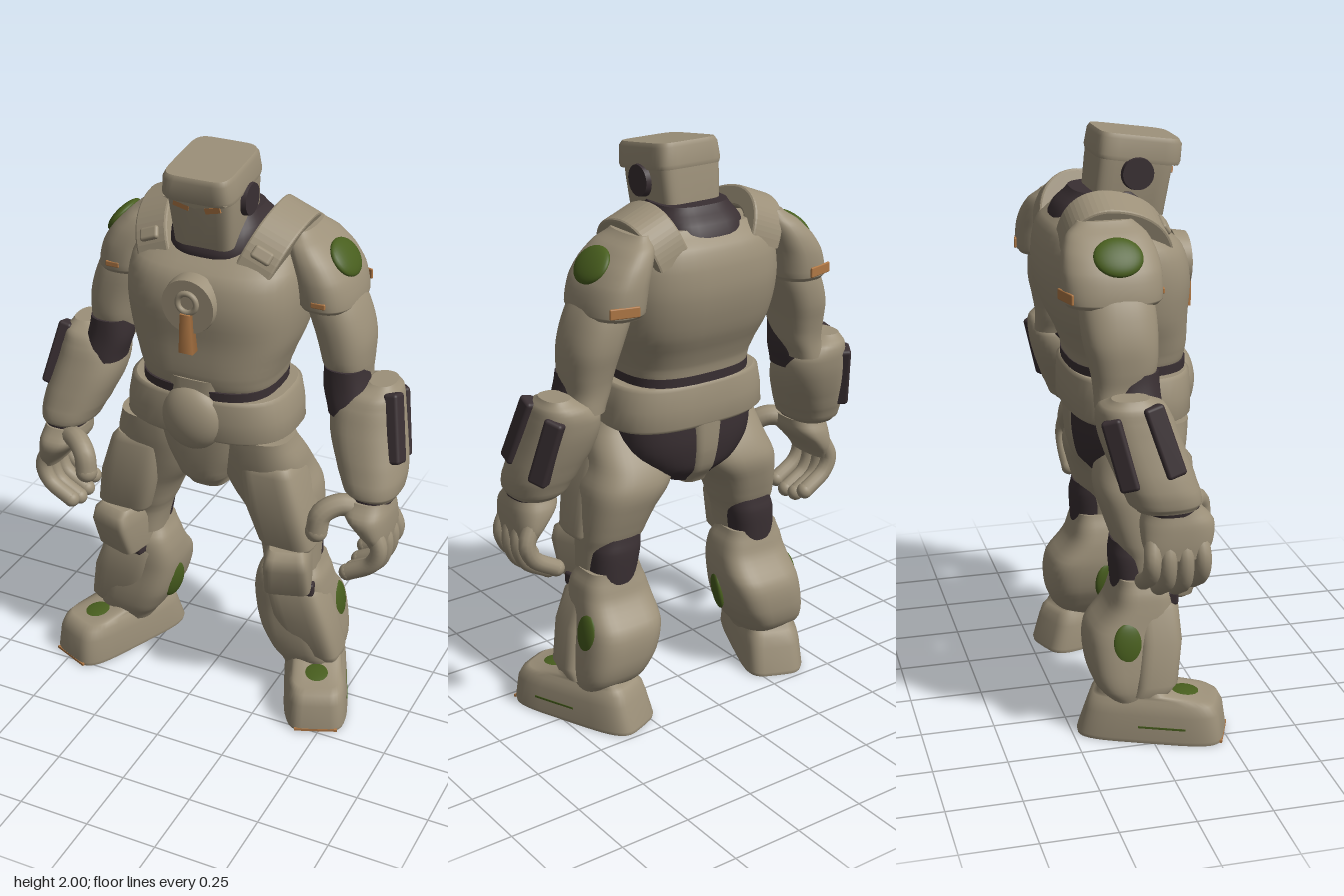
import * as THREE from 'three';
import { RoundedBoxGeometry } from 'three/addons/geometries/RoundedBoxGeometry.js';

const mat = (name, color) => {
  const m = new THREE.MeshStandardMaterial({ color });
  m.name = name;
  return m;
};

// Closed body through level rings [y, x, z, halfWidth, halfDepth], listed from bottom to top.
// p sets how square the rings are; steps > 1 smooths between rings.
function loft(rings, p = 2.4, steps = 4, seg = 40) {
  const rows = [], n = rings.length;
  const at = i => rings[Math.max(0, Math.min(n - 1, i))];
  for (let i = 0; i < n - 1; i++)
    for (let s = 0; s < steps; s++) {
      const t = s / steps;
      rows.push(rings[i].map((_, k) => {
        const [a, b, c, d] = [at(i - 1)[k], at(i)[k], at(i + 1)[k], at(i + 2)[k]];
        if (steps === 1 || k === 0) return b + (c - b) * t;
        return b + 0.5 * t * (c - a + t * (2 * a - 5 * b + 4 * c - d + t * (3 * (b - c) + d - a)));
      }));
    }
  rows.push(rings[n - 1]);
  const pos = [], idx = [];
  const pow = v => Math.sign(v) * Math.abs(v) ** (2 / p);
  const addRing = ([y, x, z, rx, rz]) => {
    for (let j = 0; j < seg; j++) {
      const a = (j / seg) * Math.PI * 2;
      pos.push(x + rx * pow(Math.cos(a)), y, z + rz * pow(Math.sin(a)));
    }
  };
  rows.forEach(addRing);
  for (let i = 0; i < rows.length - 1; i++)
    for (let j = 0; j < seg; j++) {
      const k = (j + 1) % seg, a = i * seg + j, b = i * seg + k;
      idx.push(a, a + seg, b, b, a + seg, b + seg);
    }
  for (const top of [false, true]) {
    const r = top ? rows[rows.length - 1] : rows[0], base = pos.length / 3;
    addRing(r);
    pos.push(r[1], r[0], r[2]);
    for (let j = 0; j < seg; j++) {
      const a = base + j, b = base + (j + 1) % seg;
      idx.push(base + seg, top ? b : a, top ? a : b);
    }
  }
  const g = new THREE.BufferGeometry();
  g.setAttribute('position', new THREE.Float32BufferAttribute(pos, 3));
  g.setIndex(idx);
  g.computeVertexNormals();
  return g;
}

export function createModel() {
  const armour = mat('khaki armour', 0x9c9079), dark = mat('dark under suit', 0x3a3033);
  const green = mat('green patch', 0x485e1e), orange = mat('worn orange', 0xb07845);
  const model = new THREE.Group();
  const add = (parent, name, geo, m, pos = [0, 0, 0], rot = [0, 0, 0], scale = [1, 1, 1]) => {
    const mesh = new THREE.Mesh(geo, m);
    mesh.name = name;
    mesh.position.set(...pos);
    mesh.rotation.set(...rot);
    mesh.scale.set(...scale);
    parent.add(mesh);
  };
  const ball = new THREE.SphereGeometry(1, 28, 18);
  const box = (w, h, d, r = 0.01) => new RoundedBoxGeometry(w, h, d, 3, r);
  const group = (name, parent, pos = [0, 0, 0], rot = [0, 0, 0]) => {
    const g = new THREE.Group();
    g.name = name;
    g.position.set(...pos);
    g.rotation.set(...rot);
    parent.add(g);
    return g;
  };

  // Torso, neck and waist
  add(model, 'torso', loft([
    [1.2, 0, 0, 0.222, 0.18], [1.235, 0, 0.012, 0.235, 0.193], [1.29, 0, 0.01, 0.25, 0.205],
    [1.4, 0, -0.015, 0.288, 0.23], [1.52, 0, -0.027, 0.303, 0.248], [1.62, 0, -0.04, 0.295, 0.234],
    [1.69, 0, -0.07, 0.262, 0.182], [1.74, 0, -0.09, 0.2, 0.112]], 2.8), armour);
  add(model, 'bellyPlate', loft([[1.12, 0, 0.1, 0.095, 0.12], [1.27, 0, 0.1, 0.11, 0.118]], 3.5, 1), armour);
  add(model, 'neck', loft([
    [1.64, 0, -0.05, 0.165, 0.178], [1.69, 0, -0.05, 0.165, 0.185], [1.75, 0, -0.052, 0.155, 0.158],
    [1.8, 0, -0.05, 0.125, 0.11]], 2.8), dark);
  add(model, 'waist', loft([[1.14, 0, 0.015, 0.235, 0.195], [1.236, 0, 0.015, 0.236, 0.199]], 2.8, 1), dark);
  add(model, 'belt', loft([
    [1.05, 0, 0.015, 0.285, 0.195], [1.065, 0, 0.015, 0.3, 0.21], [1.13, 0, 0.015, 0.296, 0.21],
    [1.195, 0, 0.015, 0.283, 0.207], [1.205, 0, 0.015, 0.268, 0.197]], 2.8, 1), armour);
  add(model, 'buckle', ball, armour, [0, 1.125, 0.2], [0, 0, 0], [0.11, 0.118, 0.065]);

  // Pelvis
  add(model, 'pelvis', loft([
    [0.83, 0, -0.02, 0.09, 0.09], [0.88, 0, -0.015, 0.18, 0.135], [0.94, 0, -0.01, 0.235, 0.157],
    [1.0, 0, -0.005, 0.255, 0.17], [1.08, 0, 0, 0.26, 0.175]], 2.5), dark);
  add(model, 'groinPlate', loft([
    [0.82, 0, 0.04, 0.07, 0.09], [0.87, 0, 0.06, 0.09, 0.115], [0.97, 0, 0.07, 0.138, 0.125],
    [1.08, 0, 0.08, 0.165, 0.125]], 3), armour);
  add(model, 'backStrip', loft([
    [0.82, 0, -0.03, 0.05, 0.085], [0.88, 0, -0.06, 0.056, 0.1], [0.96, 0, -0.075, 0.06, 0.108],
    [1.08, 0, -0.08, 0.07, 0.11]], 3.5), armour);

  // Chest badge
  const face = [Math.PI / 2, 0, 0];
  add(model, 'chestDisc', new THREE.CylinderGeometry(0.092, 0.1, 0.05, 40), armour, [0, 1.54, 0.21], face);
  add(model, 'chestRing', new THREE.TorusGeometry(0.033, 0.01, 10, 28), armour, [0, 1.555, 0.238]);
  add(model, 'chestTab', new THREE.CylinderGeometry(0.026, 0.036, 0.14, 4, 1, false, Math.PI / 4), orange,
    [0, 1.45, 0.236], [0.06, 0, 0], [1, 1, 0.7]);

  // Head
  const head = group('head', model, [0, 1.85, 0.03], [0.14, 0, 0]);
  add(head, 'faceMask', loft([
    [-0.14, 0, 0, 0.095, 0.112], [-0.125, 0, 0, 0.108, 0.125], [0.02, 0, 0, 0.118, 0.13],
    [0.06, 0, 0, 0.118, 0.13]], 6, 1), armour);
  add(head, 'helmet', loft([
    [0.045, 0, 0.01, 0.123, 0.14], [0.06, 0, 0.01, 0.126, 0.145], [0.115, 0, 0.01, 0.12, 0.143],
    [0.13, 0, 0.008, 0.112, 0.134]], 6, 1), armour);
  const brim = new THREE.Shape([[-0.112, 0.052], [0, 0.026], [0.112, 0.052]].map(q => new THREE.Vector2(...q)));
  add(head, 'brow', new THREE.ExtrudeGeometry(brim, { depth: 0.034, bevelEnabled: false }), armour, [0, 0, 0.112]);
  for (const s of [1, -1]) {
    add(head, 'eye', new THREE.BoxGeometry(0.055, 0.02, 0.008), orange, [s * 0.055, 0.021, 0.129], [0, 0, s * 0.25]);
    add(head, 'earDisc', new THREE.CylinderGeometry(0.052, 0.057, 0.03, 28), dark, [s * 0.12, 0.01, 0.005],
      [0, 0, -s * Math.PI / 2]);
  }

  // One arm and one leg, built on +x and then mirrored
  const side = group('leftSide', model);

  // Shoulder strap
  const strap = new THREE.Shape();
  strap.moveTo(0.165, -0.09);
  strap.bezierCurveTo(0.13, 0.03, 0.02, 0.06, -0.05, 0.065);
  strap.bezierCurveTo(-0.14, 0.065, -0.18, 0.0, -0.185, -0.08);
  strap.lineTo(-0.145, -0.08);
  strap.bezierCurveTo(-0.13, 0.0, -0.1, 0.015, -0.05, 0.01);
  strap.bezierCurveTo(0.02, 0.0, 0.07, -0.03, 0.1, -0.1);
  const strapBox = group('shoulderStrap', side, [0.212, 1.735, -0.045], [0, 0, -0.38]);
  add(strapBox, 'strap', new THREE.ExtrudeGeometry(strap, {
    depth: 0.108, bevelSize: 0.008, bevelThickness: 0.008, bevelSegments: 2, curveSegments: 14 }), armour,
    [0.052, 0, 0], [0, -Math.PI / 2, 0]);
  add(strapBox, 'strapClip', box(0.07, 0.03, 0.045), armour, [0, -0.035, 0.145], [0.9, 0, 0]);

  // Arm
  const arm = group('arm', side);
  add(arm, 'shoulderPad', loft([
    [1.505, 0.365, -0.11, 0.092, 0.148], [1.52, 0.365, -0.11, 0.1, 0.16], [1.6, 0.35, -0.11, 0.096, 0.162],
    [1.66, 0.322, -0.11, 0.085, 0.152], [1.71, 0.29, -0.11, 0.065, 0.13], [1.75, 0.265, -0.11, 0.035, 0.09]], 2.5), armour);
  add(arm, 'shoulderPatch', ball, green, [0.404, 1.658, -0.1], [0, 0, 0.68], [0.024, 0.068, 0.08]);
  add(arm, 'padMarkFront', box(0.05, 0.02, 0.009, 0.004), orange, [0.372, 1.54, 0.049]);
  add(arm, 'padMarkBack', box(0.1, 0.035, 0.009, 0.004), orange, [0.392, 1.54, -0.266], [0, -0.25, 0]);
  add(arm, 'upperArm', loft([
    [1.19, 0.455, -0.11, 0.062, 0.08], [1.25, 0.438, -0.1, 0.07, 0.09], [1.31, 0.432, -0.092, 0.08, 0.107],
    [1.4, 0.418, -0.098, 0.092, 0.12], [1.5, 0.385, -0.1, 0.095, 0.12], [1.6, 0.35, -0.1, 0.08, 0.1]]), armour);
  add(arm, 'elbow', loft([
    [1.14, 0.47, -0.05, 0.08, 0.085], [1.22, 0.446, -0.058, 0.078, 0.082], [1.3, 0.436, -0.06, 0.07, 0.08]]), dark);
  add(arm, 'forearm', loft([
    [0.89, 0.585, 0.01, 0.078, 0.1], [0.91, 0.578, 0.005, 0.096, 0.118], [0.97, 0.563, -0.015, 0.113, 0.125],
    [1.08, 0.528, -0.052, 0.124, 0.128], [1.17, 0.515, -0.078, 0.117, 0.122], [1.22, 0.53, -0.09, 0.09, 0.105],
    [1.25, 0.555, -0.1, 0.045, 0.06]]), armour);
  add(arm, 'forearmBarFront', box(0.05, 0.235, 0.066, 0.012), dark, [0.632, 1.125, -0.012], [-0.28, -0.1, 0.2]);
  add(arm, 'forearmBarBack', box(0.05, 0.235, 0.066, 0.012), dark, [0.612, 1.085, -0.142], [-0.34, 0.5, 0.2]);

  // Hand
  add(arm, 'wrist', loft([[0.875, 0.582, 0.03, 0.07, 0.085], [0.91, 0.58, 0.02, 0.08, 0.095]], 2.4, 1), dark);
  add(arm, 'palm', loft([
    [0.73, 0.628, 0.035, 0.032, 0.095], [0.78, 0.612, 0.04, 0.05, 0.115], [0.84, 0.583, 0.045, 0.076, 0.118],
    [0.89, 0.575, 0.035, 0.074, 0.088]], 2.6), armour);
  const digit = (name, pts, r) => {
    const v = pts.map(q => new THREE.Vector3(...q));
    add(arm, name, new THREE.TubeGeometry(new THREE.CatmullRomCurve3(v), 16, r, 12), armour);
    add(arm, name + 'Tip', ball, armour, pts[pts.length - 1], [0, 0, 0], [r, r, r]);
  };
  [0.115, 0.058, 0.002, -0.05].forEach((z, i) => {
    const d = [0.02, 0, 0.005, 0.03][i];
    digit('finger', [[0.61, 0.81, z * 0.9 + 0.005], [0.644, 0.73, z], [0.622, 0.645 + d, z], [0.535, 0.588 + d, z]], 0.029);
  });
  digit('thumb', [[0.57, 0.85, 0.08], [0.5, 0.87, 0.12], [0.45, 0.84, 0.155], [0.438, 0.775, 0.165]], 0.038);

  // Thigh and knee
  const leg = group('leg', side);
  add(leg, 'thigh', loft([
    [0.54, 0.297, 0.028, 0.097, 0.085], [0.62, 0.29, 0.022, 0.104, 0.09], [0.67, 0.28, 0.016, 0.114, 0.108],
    [0.76, 0.258, 0.01, 0.13, 0.13], [0.84, 0.225, 0.008, 0.152, 0.145], [0.91, 0.2, 0.025, 0.15, 0.14],
    [0.98, 0.19, 0.055, 0.146, 0.122], [1.06, 0.185, 0.085, 0.125, 0.1]], 2.6), armour);
  add(leg, 'thighPlate', loft([
    [0.65, 0.312, 0.075, 0.088, 0.075], [0.67, 0.31, 0.075, 0.1, 0.09], [0.8, 0.278, 0.085, 0.11, 0.1],
    [0.94, 0.245, 0.085, 0.1, 0.095], [0.965, 0.24, 0.08, 0.085, 0.08]], 4, 1), armour);
  add(leg, 'kneeJoint', loft([
    [0.46, 0.3, -0.01, 0.088, 0.085], [0.54, 0.297, -0.015, 0.088, 0.086], [0.62, 0.288, -0.018, 0.092, 0.087],
    [0.67, 0.28, -0.012, 0.088, 0.085]]), dark);
  add(leg, 'kneePad', box(0.165, 0.05, 0.07), dark, [0.322, 0.48, 0.088], [0, 0.2, 0]);
  const knee = group('kneeGuard', leg, [0.32, 0.577, 0.12], [0.08, 0.28, 0]);
  add(knee, 'kneeBlock', loft([
    [-0.1, 0, -0.02, 0.07, 0.06], [-0.085, 0, -0.012, 0.08, 0.075], [0.03, 0, 0, 0.08, 0.09],
    [0.075, 0, -0.005, 0.072, 0.085], [0.09, 0, -0.015, 0.06, 0.065]], 6, 1), armour);

  // Shin
  add(leg, 'calfShell', loft([
    [0.12, 0.365, -0.02, 0.095, 0.095], [0.18, 0.348, -0.035, 0.12, 0.135], [0.26, 0.322, -0.042, 0.138, 0.15],
    [0.36, 0.302, -0.04, 0.141, 0.145], [0.44, 0.297, -0.008, 0.133, 0.115], [0.5, 0.298, 0, 0.12, 0.1],
    [0.55, 0.298, -0.01, 0.1, 0.078]], 3.4), armour);
  add(leg, 'shinPlate', loft([
    [0.16, 0.405, 0.0, 0.075, 0.065], [0.2, 0.4, 0.02, 0.09, 0.075], [0.34, 0.355, 0.04, 0.108, 0.078],
    [0.45, 0.318, 0.04, 0.105, 0.075], [0.475, 0.315, 0.03, 0.09, 0.065]], 4, 1), armour);
  add(leg, 'calfPatchOuter', ball, green, [0.434, 0.34, -0.073], [0, 0, 0.12], [0.02, 0.078, 0.053]);
  add(leg, 'calfPatchInner', ball, green, [0.183, 0.3, 0.008], [0, 0.4, 0.15], [0.02, 0.078, 0.05]);

  // Boot
  const foot = group('boot', leg, [0.395, 0, 0.018], [0, 0.4, 0]);
  add(foot, 'bootShell', loft([
    [0, 0, 0, 0.11, 0.247], [0.015, 0, 0, 0.114, 0.25], [0.1, 0, 0.008, 0.108, 0.23],
    [0.135, 0, 0.005, 0.1, 0.215], [0.15, 0, 0, 0.09, 0.195], [0.16, 0, -0.055, 0.09, 0.125],
    [0.22, 0, -0.06, 0.085, 0.09]], 4.5, 1), armour);
  add(foot, 'bootPatch', ball, green, [0, 0.148, 0.115], [0.09, 0, 0], [0.052, 0.013, 0.06]);
  add(foot, 'bootLine', new THREE.BoxGeometry(0.008, 0.007, 0.16), green, [0.108, 0.06, 0.05]);
  add(foot, 'soleEdge', new THREE.BoxGeometry(0.15, 0.009, 0.008), orange, [0, 0.008, 0.246]);

  const mirror = side.clone();
  mirror.name = 'rightSide';
  mirror.scale.x = -1;
  model.add(mirror);
  return model;
}
